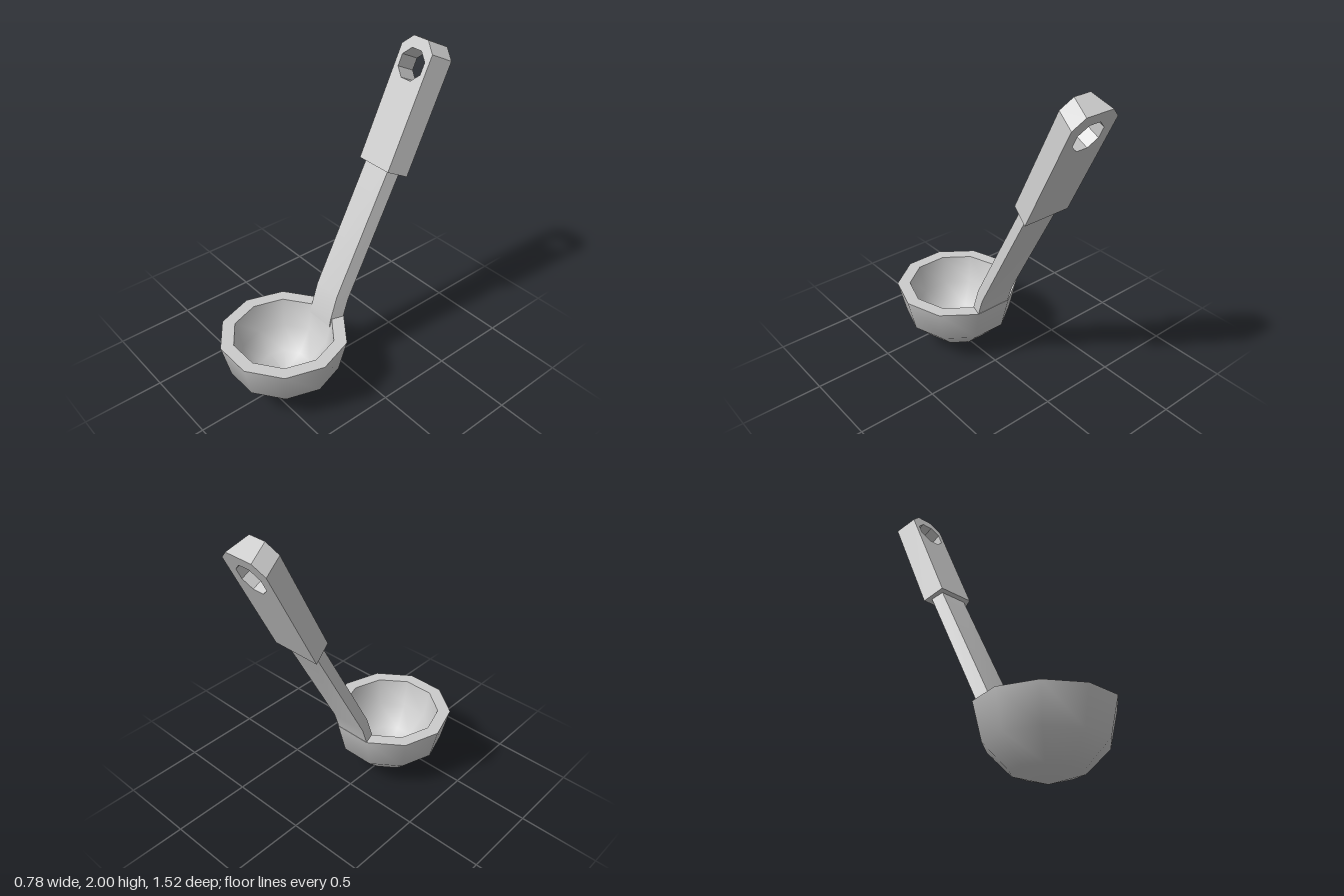
import * as THREE from 'three';
import { toCreasedNormals } from 'three/addons/utils/BufferGeometryUtils.js';

const material = new THREE.MeshStandardMaterial({ color: 0xcccccc });

function addMesh(parent, name, geometry) {
  const mesh = new THREE.Mesh(geometry, material);
  mesh.name = name;
  parent.add(mesh);
  return mesh;
}

// Ten-sided surface of revolution with corners on the x axis
function decagonLathe(profile) {
  const points = profile.map(([r, y]) => new THREE.Vector2(r, y));
  return new THREE.LatheGeometry(points, 10, Math.PI / 2);
}

// Hollow bowl: outer wall, flat rim and inner wall
function createBowl() {
  const bowl = new THREE.Group();
  bowl.name = 'bowl';
  addMesh(bowl, 'bowlOuter', decagonLathe([[0, 0], [0.2, 0.06], [0.34, 0.2], [0.39, 0.415]]));
  addMesh(bowl, 'bowlRim', decagonLathe([[0.39, 0.415], [0.31, 0.415]]));
  addMesh(bowl, 'bowlInner', decagonLathe([[0.31, 0.415], [0.27, 0.24], [0.16, 0.12], [0, 0.08]]));
  bowl.position.z = 0.387;
  return bowl;
}

// Bent bar with a trapezoid section, wider at the back
function createStemGeometry() {
  // Each section: front z, front y, back z, back y
  const sections = [
    [0.11, 0.36, 0.035, 0.36],
    [0.1, 0.41, 0.02, 0.41],
    [0.05, 0.562, -0.019, 0.53],
    [-0.38, 1.39, -0.445, 1.355],
  ];
  const positions = [];
  const indices = [];
  for (const [fz, fy, bz, by] of sections) {
    positions.push(0.093, fy, fz, 0.118, by, bz, -0.118, by, bz, -0.093, fy, fz);
  }
  for (let s = 0; s < sections.length - 1; s++) {
    for (let i = 0; i < 4; i++) {
      const a = s * 4 + i;
      const b = s * 4 + (i + 1) % 4;
      indices.push(a, b, b + 4, a, b + 4, a + 4);
    }
  }
  const top = (sections.length - 1) * 4;
  indices.push(0, 3, 2, 0, 2, 1, top, top + 1, top + 2, top, top + 2, top + 3);
  const geometry = new THREE.BufferGeometry();
  geometry.setAttribute('position', new THREE.Float32BufferAttribute(positions, 3));
  geometry.setIndex(indices);
  return toCreasedNormals(geometry, 0.6);
}

// Grip plate with clipped top corners and an octagonal hanging hole
function createGripGeometry() {
  const holeY = 0.61;
  const shape = new THREE.Shape([
    [-0.12, 0], [0.12, 0], [0.12, 0.7], [0.055, 0.765], [-0.055, 0.765], [-0.12, 0.7],
  ].map(([x, y]) => new THREE.Vector2(x, y)));
  const hole = [];
  for (let i = 0; i < 8; i++) {
    const angle = -(i + 0.5) * Math.PI / 4;
    hole.push(new THREE.Vector2(0.095 * Math.cos(angle), holeY + 0.095 * Math.sin(angle)));
  }
  shape.holes.push(new THREE.Path(hole));
  const geometry = new THREE.ExtrudeGeometry(shape, { depth: 0.135, bevelEnabled: false });

  // Widen the outline at the back, leaving the hole straight
  const p = geometry.attributes.position;
  for (let i = 0; i < p.count; i++) {
    const x = p.getX(i);
    const outside = Math.hypot(x, p.getY(i) - holeY) > 0.11;
    if (outside && p.getZ(i) < 0.01) p.setX(i, x + Math.sign(x) * 0.035);
  }
  return toCreasedNormals(geometry, 0.5);
}

export function createModel() {
  const model = new THREE.Group();
  model.name = 'ladle';
  model.add(createBowl());
  addMesh(model, 'stem', createStemGeometry());
  const grip = addMesh(model, 'grip', createGripGeometry());
  grip.position.set(0, 1.252, -0.429);
  grip.rotation.x = -0.446;
  return model;
}
